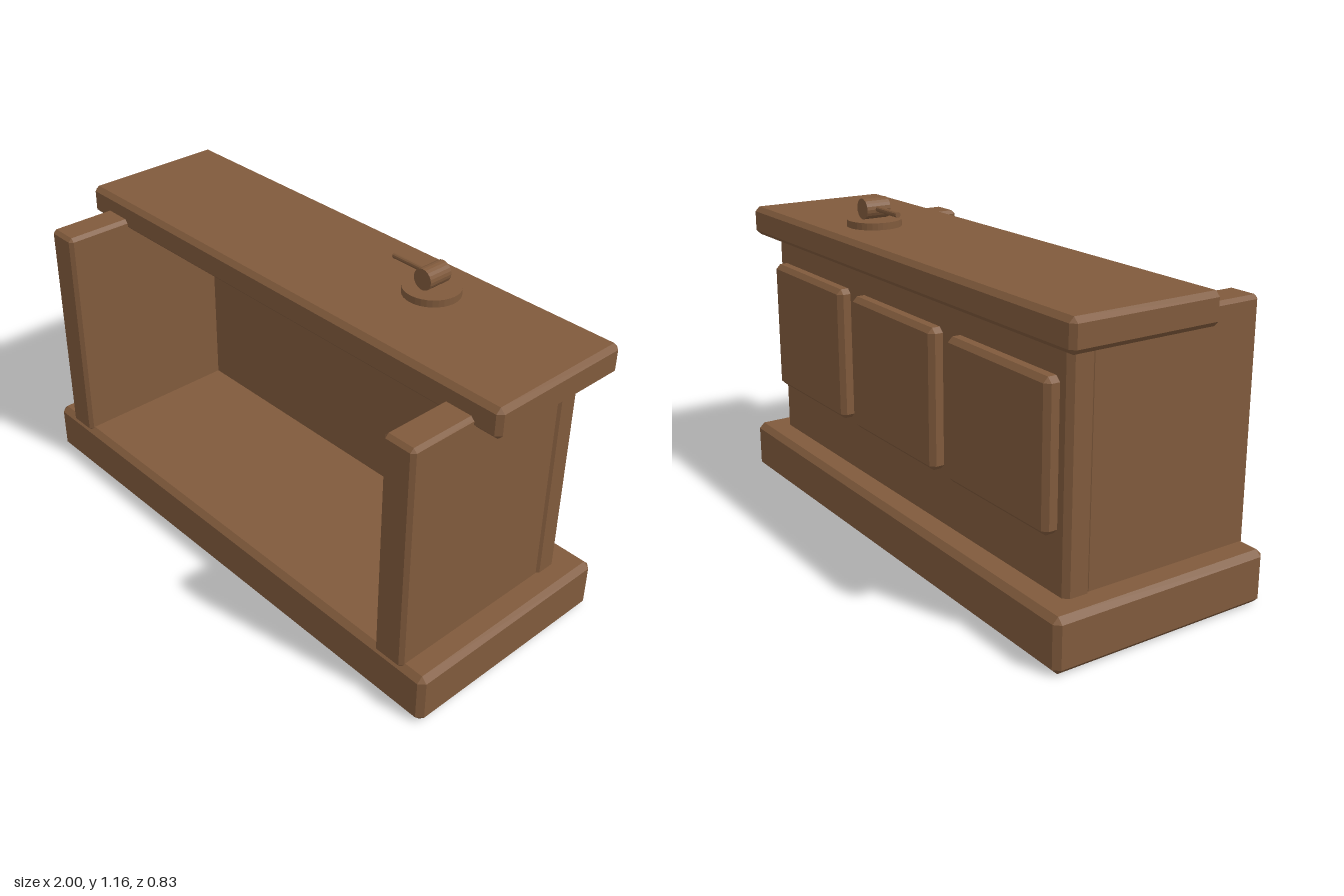
import * as THREE from 'three';
import { ConvexGeometry } from 'three/addons/geometries/ConvexGeometry.js';

// Box with 45 degree chamfers on every edge, given by its limits
function chamferBox([x0, x1], [y0, y1], [z0, z1], c) {
  const half = [(x1 - x0) / 2, (y1 - y0) / 2, (z1 - z0) / 2];
  const points = [];
  for (const sx of [-1, 1]) for (const sy of [-1, 1]) for (const sz of [-1, 1]) {
    for (let axis = 0; axis < 3; axis++) {
      const p = half.map((h, i) => (i === axis ? h : h - c));
      points.push(new THREE.Vector3(sx * p[0], sy * p[1], sz * p[2]));
    }
  }
  const geometry = new ConvexGeometry(points);
  geometry.translate((x0 + x1) / 2, (y0 + y1) / 2, (z0 + z1) / 2);
  return geometry;
}

export function createModel() {
  const group = new THREE.Group();
  group.name = 'barCounter';
  const wood = new THREE.MeshStandardMaterial({ color: 0x805a3c, flatShading: true });
  wood.name = 'brown wood';

  const add = (name, geometry, x = 0, y = 0, z = 0) => {
    const mesh = new THREE.Mesh(geometry, wood);
    mesh.name = name;
    mesh.position.set(x, y, z);
    group.add(mesh);
    return mesh;
  };

  // Plinth, customer-side wall and worktop
  add('base', chamferBox([-1, 1], [0, 0.185], [-0.415, 0.415], 0.02));
  add('backWall', chamferBox([-0.915, 0.915], [0.16, 0.99], [-0.32, -0.22], 0.018));
  add('counterTop', chamferBox([-1, 1], [0.958, 1.065], [-0.382, 0.166], 0.017));

  // End walls
  add('leftWall', chamferBox([0.785, 0.908], [0.165, 1], [-0.24, 0.412], 0.013));
  add('rightWall', chamferBox([-0.908, -0.785], [0.165, 1], [-0.24, 0.412], 0.013));

  // Three raised panels on the outer face
  for (const i of [-1, 0, 1]) {
    const x = i * 0.608;
    add('raisedPanel', chamferBox([x - 0.262, x + 0.262], [0.377, 0.86], [-0.366, -0.3], 0.017));
  }

  // Tap: round foot, horizontal barrel and thin lever
  add('tapFoot', new THREE.CylinderGeometry(0.098, 0.098, 0.025, 32), 0.405, 1.0775, -0.183);
  const barrel = add('tapBarrel', new THREE.CylinderGeometry(0.037, 0.037, 0.094, 20), 0.405, 1.128, -0.183);
  barrel.rotation.x = Math.PI / 2;
  const lever = add('tapLever', new THREE.CylinderGeometry(0.01, 0.01, 0.16, 12), 0.31, 1.129, -0.187);
  lever.rotation.z = Math.PI / 2;

  return group;
}
